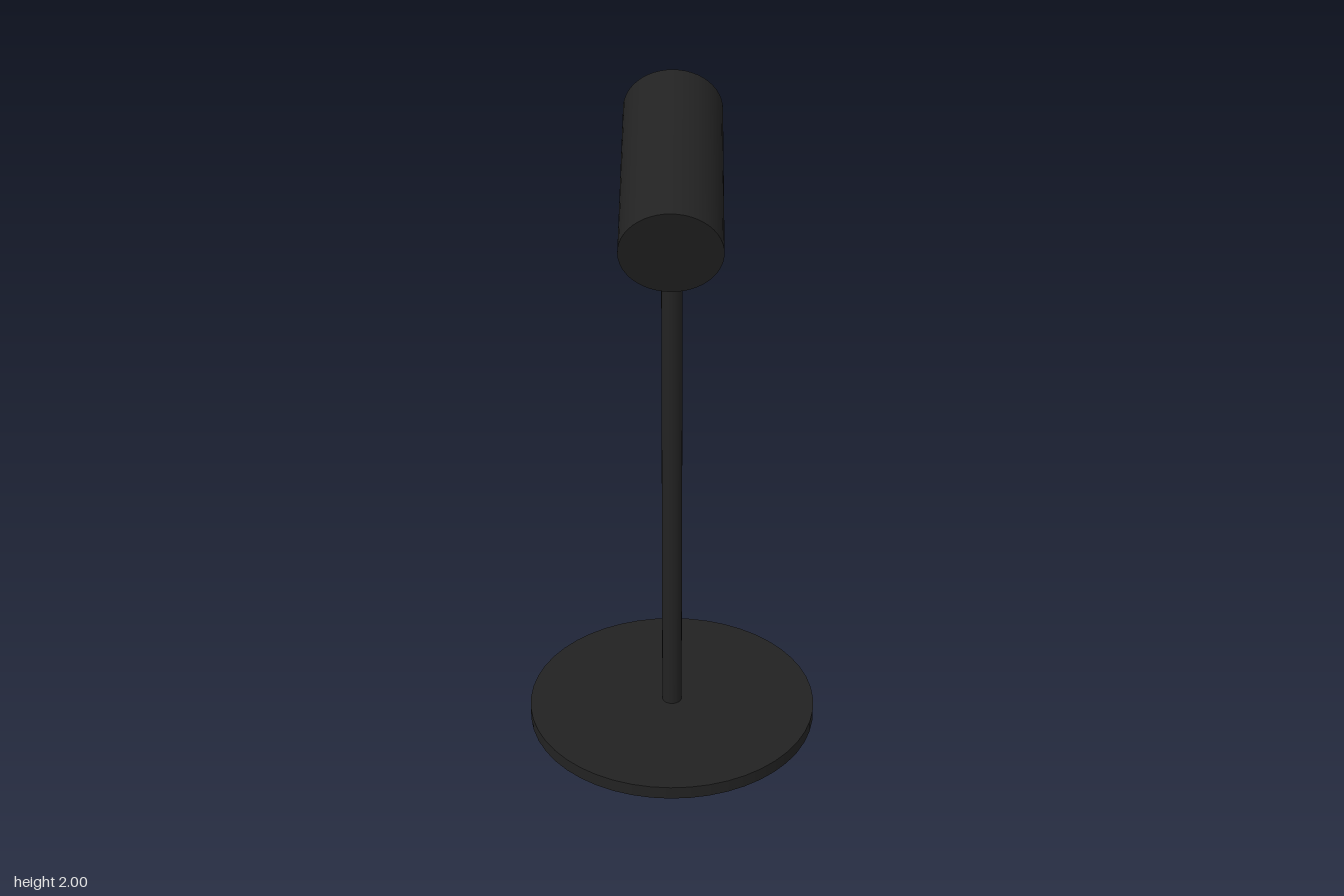
import * as THREE from 'three';

export function createModel() {
  const model = new THREE.Group();
  const matteBlack = new THREE.MeshStandardMaterial({ color: 0x222222 });
  matteBlack.name = 'matte black';

  // Upright solid cylinder centred at height y
  function addCylinder(name, radius, height, y, segments) {
    const mesh = new THREE.Mesh(
      new THREE.CylinderGeometry(radius, radius, height, segments), matteBlack);
    mesh.name = name;
    mesh.position.y = y;
    model.add(mesh);
    return mesh;
  }

  // Round foot and slim post, whose top ends inside the head
  addCylinder('base', 0.44, 0.04, 0.02, 48);
  addCylinder('post', 0.03, 1.66, 0.87, 24);

  // Lamp head, its front end tipped 20 degrees down
  const head = addCylinder('lampHead', 0.14, 0.583, 1.769, 48);
  head.position.z = 0.003;
  head.rotation.x = THREE.MathUtils.degToRad(-70);

  return model;
}
